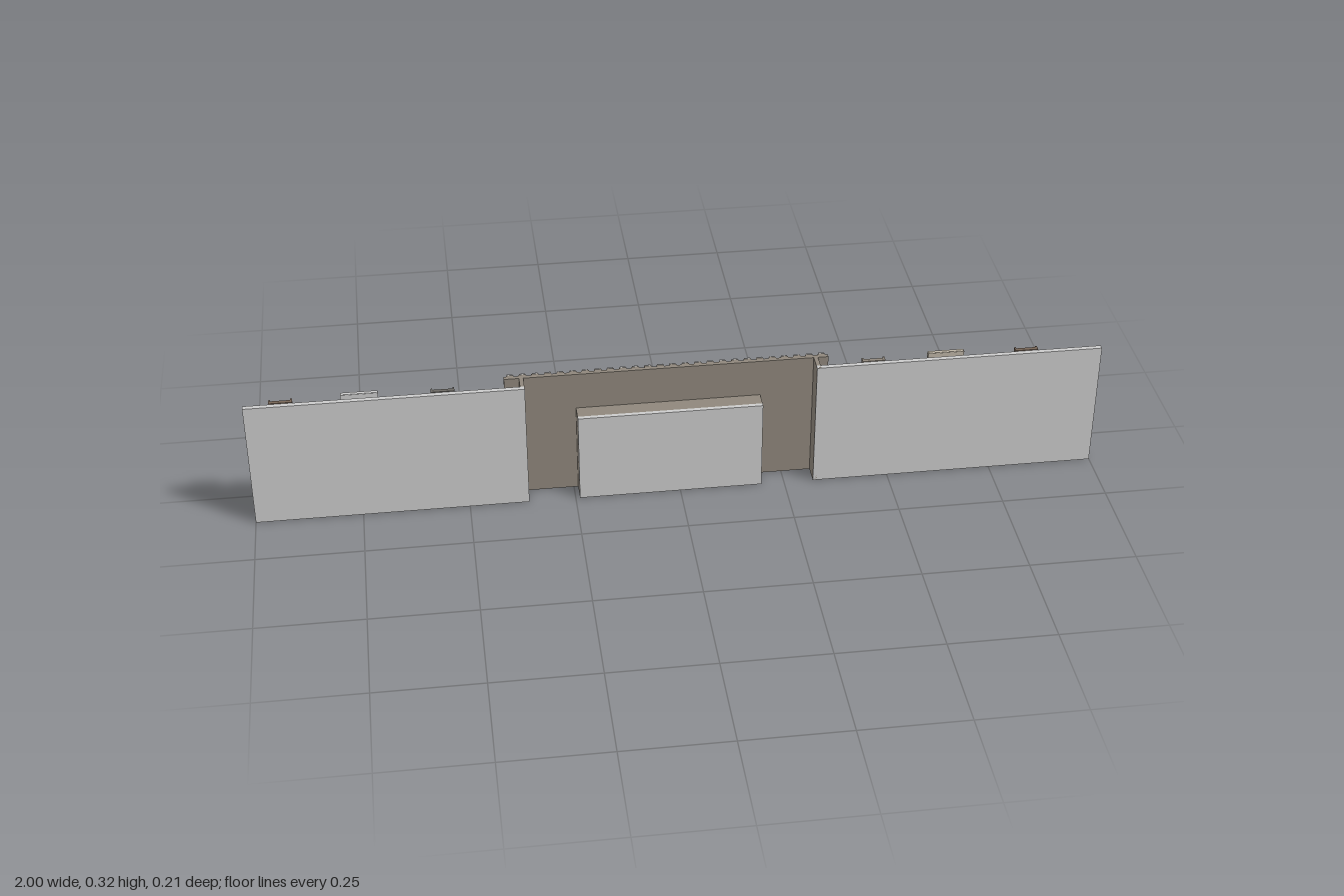
import * as THREE from 'three';

const mat = (color) => new THREE.MeshStandardMaterial({ color, flatShading: true });

export function createModel() {
  const root = new THREE.Group();
  const grey = mat(0xcccccc), taupe = mat(0x8f877c), brown = mat(0x766556);
  const pale = mat(0xbdb4a5), dark = mat(0x4a4a4a), black = mat(0x111111);

  // box given by its extents along each axis
  function box(name, x0, x1, y0, y1, z0, z1, material, parent = root) {
    const m = new THREE.Mesh(new THREE.BoxGeometry(x1 - x0, y1 - y0, z1 - z0), material);
    m.position.set((x0 + x1) / 2, (y0 + y1) / 2, (z0 + z1) / 2);
    m.name = name;
    parent.add(m);
    return m;
  }
  function group(name) {
    const g = new THREE.Group();
    g.name = name;
    root.add(g);
    return g;
  }

  const H = 0.318;
  const nicheL = -0.24, nicheR = 0.195, nicheTop = 0.225;

  // side walls and the returns leading back to the recess
  box('rightWall', -1, -0.36, 0, H, 0.095, 0.107, grey);
  box('leftWall', 0.32, 1, 0, H, 0.095, 0.107, grey);
  box('rightReturn', -0.37, -0.36, 0, H, 0.055, 0.107, taupe);
  box('leftReturn', 0.32, 0.33, 0, H, 0.055, 0.107, taupe);

  // recessed centre wall around the niche opening
  const centre = group('centreWall');
  box('centreWallRight', -0.405, nicheL, 0, H, 0.05, 0.06, taupe, centre);
  box('centreWallLeft', nicheR, 0.355, 0, H, 0.05, 0.06, taupe, centre);
  box('centreWallHeader', nicheL, nicheR, nicheTop, H, 0.05, 0.06, taupe, centre);

  // hollow niche, open to the back
  const niche = group('niche');
  box('nichePanel', nicheL, nicheR, 0, nicheTop, 0.097, 0.107, grey, niche);
  box('nicheTop', nicheL, nicheR, nicheTop - 0.008, nicheTop, 0.05, 0.097, taupe, niche);
  box('nicheRightSide', nicheL, nicheL + 0.008, 0, nicheTop - 0.008, 0.05, 0.097, taupe, niche);
  box('nicheLeftSide', nicheR - 0.008, nicheR, 0, nicheTop - 0.008, 0.05, 0.097, taupe, niche);

  // small lamps on the niche panel
  for (let i = 0; i < 4; i++) {
    const x = 0.129 - i * 0.09;
    const lamp = new THREE.Mesh(new THREE.CylinderGeometry(0.002, 0.008, 0.024, 10), dark);
    lamp.position.set(x, 0.145, 0.089);
    lamp.name = 'lampShade';
    niche.add(lamp);
    box('lampStem', x - 0.002, x + 0.002, 0.155, 0.172, 0.087, 0.097, dark, niche);
  }

  // vertical slats, shortened above the niche, each with a cap at the top
  const slats = group('slats');
  const count = 26, pitch = 0.76 / count;
  for (let i = 0; i < count; i++) {
    const x = -0.405 + (i + 0.5) * pitch, w = 0.0085;
    const overNiche = x > nicheL - w && x < nicheR + w;
    box('slat', x - w, x + w, overNiche ? nicheTop : 0, H, 0.045, 0.05, taupe, slats);
    box('slatCap', x - w * 0.8, x + w * 0.8, 0.262, H + 0.001, 0.042, 0.045, grey, slats);
  }

  // narrow ornamental strips with triangles in relief and a medallion
  function ornamentStrip(cx, material) {
    const g = group('ornamentStrip');
    const w = 0.027, top = 0.32;
    box('stripBase', cx - w, cx + w, 0.002, top, 0.085, 0.095, material, g);
    for (const s of [-1, 1]) {
      box('stripEdge', cx + s * (w - 0.002) - 0.002, cx + s * (w - 0.002) + 0.002,
        0.002, top, 0.08, 0.085, material, g);
      for (let i = 0; i < 6; i++) {
        const y = 0.006 + i * 0.052;
        const x0 = cx + s * (w - 0.004), x1 = cx + s * 0.004;
        const tri = new THREE.Shape([
          new THREE.Vector2(x0, y), new THREE.Vector2(x0, y + 0.046), new THREE.Vector2(x1, y + 0.023)]);
        const m = new THREE.Mesh(
          new THREE.ExtrudeGeometry(tri, { depth: 0.004, bevelEnabled: false }), material);
        m.position.z = 0.081;
        m.name = 'triangle';
        g.add(m);
      }
    }
    const medal = new THREE.Mesh(new THREE.CylinderGeometry(0.011, 0.011, 0.012, 16), dark);
    medal.rotation.x = Math.PI / 2;
    medal.position.set(cx, 0.175, 0.08);
    medal.name = 'medallion';
    g.add(medal);
  }
  ornamentStrip(-0.915, brown);
  ornamentStrip(-0.547, mat(0x6b6863));
  ornamentStrip(0.457, taupe);
  ornamentStrip(0.822, brown);

  // wide panelled strips standing off the wall, with a dark screen
  function panelStrip(cx, material) {
    const g = group('panelStrip');
    const w = 0.043;
    const rows = [0.002, 0.056, 0.11, 0.164, 0.2, 0.24, 0.28, 0.32];
    for (let i = 0; i < rows.length - 1; i++) {
      const y0 = rows[i], y1 = rows[i + 1];
      if (i === 3) {
        box('screen', cx - w + 0.006, cx + w - 0.006, y0, y1, 0.072, 0.08, dark, g);
        continue;
      }
      box('panel', cx - w, cx + w, y0 + 0.001, y1 - 0.001, 0.069, 0.08, material, g);
      box('panelBacking', cx - w + 0.002, cx + w - 0.002, y0, y1, 0.071, 0.079, material, g);
    }
  }
  panelStrip(-0.737, grey);
  panelStrip(0.632, pale);

  // L-shaped counter with a rounded corner; o grows or shrinks its outline
  function counterLayer(name, o, y0, y1) {
    const s = new THREE.Shape();
    const xl = -0.214 - o, yb = 0.102 + o, r = 0.032 + o;
    s.moveTo(xl, 0.02 - o);
    s.lineTo(-0.18 + o, 0.02 - o);
    s.lineTo(-0.18 + o, 0.062 - o);
    s.quadraticCurveTo(-0.18 + o, 0.072 - o, -0.17 + o, 0.072 - o);
    s.lineTo(0.16 + o, 0.072 - o);
    s.lineTo(0.16 + o, yb);
    s.lineTo(xl + r, yb);
    s.absarc(xl + r, yb - r, r, Math.PI / 2, Math.PI, false);
    s.closePath();
    const geo = new THREE.ExtrudeGeometry(s, { depth: y1 - y0, bevelEnabled: false, curveSegments: 8 });
    geo.rotateX(-Math.PI / 2);
    const m = new THREE.Mesh(geo, black);
    m.position.y = y0;
    m.name = name;
    counter.add(m);
  }
  const counter = group('counter');
  counterLayer('counterBody', -0.001, 0, 0.057);
  for (let i = 0; i < 5; i++) counterLayer('counterRib', 0.001, 0.006 + i * 0.01, 0.013 + i * 0.01);
  counterLayer('counterTop', 0.004, 0.057, 0.06);

  return root;
}
